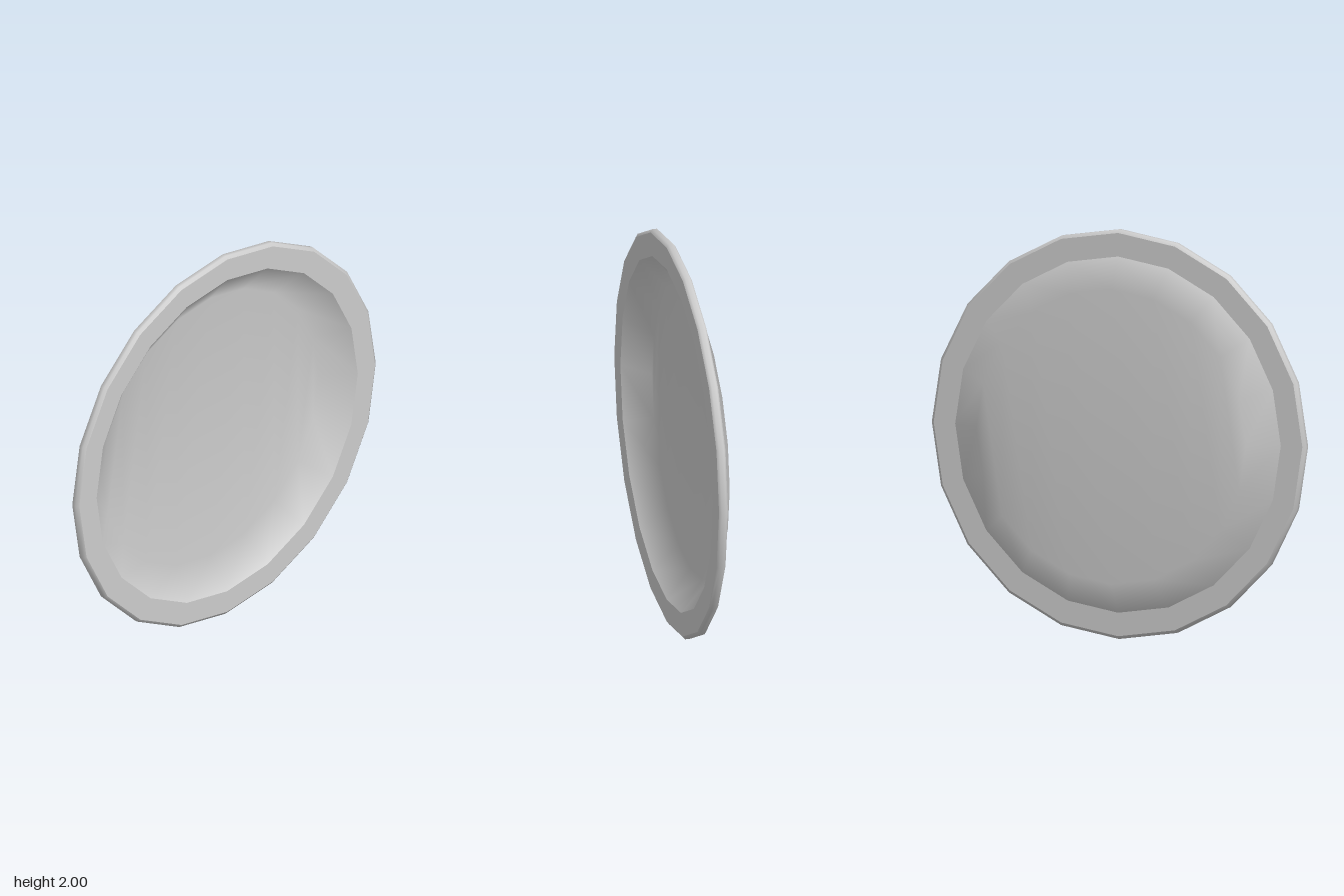
import * as THREE from 'three';

const SIDES = 20;
const OUTER = 0.87; // where the rim meets the slope
const INNER = 0.72; // edge of the flat floor

const material = new THREE.MeshStandardMaterial({ color: 0xcccccc, side: THREE.DoubleSide });

// Turned band about the z axis; profile points are [radius, z]
function band(name, profile) {
  const points = profile.map(([r, z]) => new THREE.Vector2(r, z));
  const mesh = new THREE.Mesh(new THREE.LatheGeometry(points, SIDES).rotateX(Math.PI / 2), material);
  mesh.name = name;
  return mesh;
}

// Sloping wall and flat floor, smoothed together; faces +z, or -z when flipped
function well(name, zRim, zFloor, flip) {
  const positions = [], index = [];
  for (const [r, z] of [[OUTER, zRim], [INNER, zFloor]]) {
    for (let i = 0; i < SIDES; i++) {
      const a = (i / SIDES) * Math.PI * 2;
      positions.push(r * Math.cos(a), r * Math.sin(a), z);
    }
  }
  const tri = (a, b, c) => (flip ? index.push(a, c, b) : index.push(a, b, c));
  const floor = (i) => SIDES + (i % SIDES);
  for (let i = 0; i < SIDES; i++) {
    const j = (i + 1) % SIDES;
    tri(i, j, floor(j));
    tri(i, floor(j), floor(i));
  }
  // Floor filled with upright strips
  for (let k = 0; k < SIDES / 2; k++) {
    const [a, b, c, d] = [k, k + 1, SIDES - k - 1, SIDES - k].map(floor);
    if (b !== c) tri(a, b, c);
    if (a !== d) tri(a, c, d);
  }
  const geometry = new THREE.BufferGeometry();
  geometry.setAttribute('position', new THREE.Float32BufferAttribute(positions, 3));
  geometry.setIndex(index);
  geometry.computeVertexNormals();
  const mesh = new THREE.Mesh(geometry, material);
  mesh.name = name;
  return mesh;
}

export function createModel() {
  const plate = new THREE.Group();
  plate.name = 'plate';

  // Flat rim faces and the bevelled edge between them
  plate.add(band('rimBack', [[OUTER, 0.017], [0.985, 0.017]]));
  plate.add(band('rimEdge', [[0.985, 0.017], [1, 0.028], [1, 0.051], [0.985, 0.062]]));
  plate.add(band('rimFront', [[0.985, 0.062], [OUTER, 0.062]]));

  // Dished centre, thinning to the floor
  plate.add(well('wellFront', 0.062, -0.056, false));
  plate.add(well('wellBack', 0.017, -0.062, true));

  plate.children.forEach((part) => { part.position.y = 1; });
  return plate;
}
